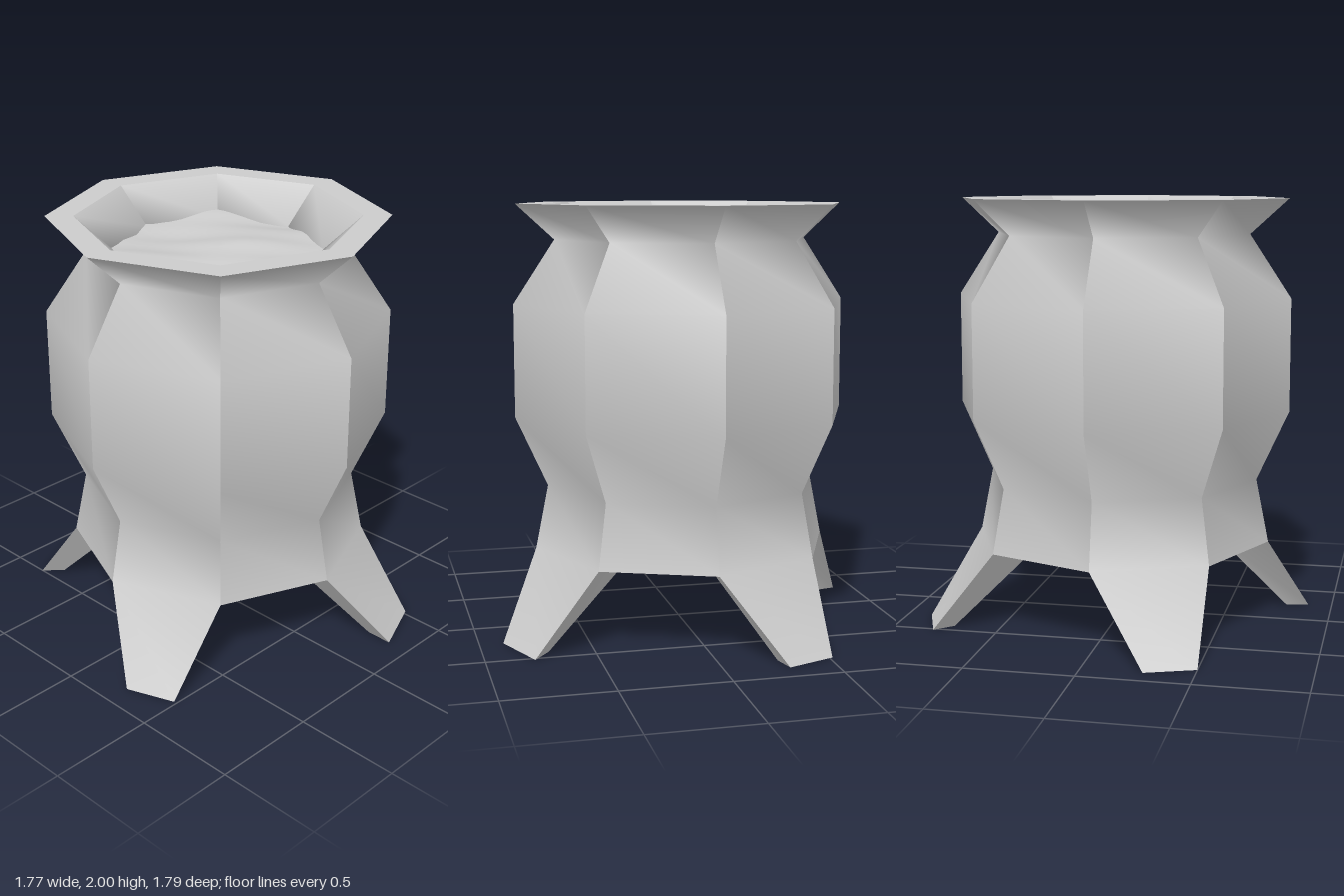
import * as THREE from 'three';

const material = new THREE.MeshStandardMaterial({ color: 0xcccccc });
const SIDES = 8;

// Point at a given radius and height on corner i of the octagon
function corner(i, r, y) {
  const a = (i * Math.PI * 2) / SIDES;
  return [r * Math.sin(a), y, r * Math.cos(a)];
}

// Strip of quads from rows of [left, right] points; smooth inside, hard at its borders
function strip(name, rows) {
  const index = [];
  for (let k = 0; k < rows.length - 1; k++) {
    const p = k * 2;
    index.push(p, p + 1, p + 2, p + 1, p + 3, p + 2);
  }
  const geo = new THREE.BufferGeometry();
  geo.setAttribute('position', new THREE.Float32BufferAttribute(rows.flat(2), 3));
  geo.setIndex(index);
  geo.computeVertexNormals();
  const mesh = new THREE.Mesh(geo, material);
  mesh.name = name;
  return mesh;
}

// Profiles as [radius, height]
const OUTER = [[0.71, 0.38], [0.65, 0.68], [0.8, 1.01], [0.8, 1.54], [0.605, 1.835], [0.785, 2]];
const RIM = [[0.785, 2], [0.655, 2]];
const INNER = [[0.655, 2], [0.475, 1.835], [0.67, 1.54]];
const BASE = [[0, 0.38], [0.71, 0.38]];

export function createModel() {
  const model = new THREE.Group();
  model.name = 'cauldron';
  const pot = new THREE.Group();
  pot.name = 'pot';
  pot.position.z = -0.015;
  model.add(pot);

  for (let i = 0; i < SIDES; i++) {
    const rows = (profile) => profile.map(([r, y]) => [corner(i, r, y), corner(i + 1, r, y)]);
    const wall = rows(OUTER);

    // Every second panel runs on down into a splayed, tapered leg
    if (i % 2 === 0) {
      const a = (i * Math.PI * 2) / SIDES;
      const turn = (x, z) => [
        x * Math.cos(a) + z * Math.sin(a), 0, z * Math.cos(a) - x * Math.sin(a),
      ];
      // The front foot is slightly wider than the others
      const oA = i === 0 ? turn(0.25, 0.905) : turn(0.275, 0.885);
      const oB = i === 0 ? turn(0.52, 0.795) : turn(0.5, 0.8);
      const iA = turn(0.25, 0.78);
      const iB = turn(0.42, 0.72);
      const [tA, tB] = wall[0];
      const jA = corner(i, 0.48, 0.38);
      const jB = corner(i + 1, 0.48, 0.38);

      const leg = new THREE.Group();
      leg.name = 'leg';
      leg.add(
        strip('legSide', [[oB, iB], [tB, jB]]),
        strip('legInside', [[iB, iA], [jB, jA]]),
        strip('legSide', [[iA, oA], [jA, tA]]),
        strip('footSole', [[iA, iB], [oA, oB]]),
      );
      pot.add(leg);
      wall.unshift([oA, oB]);
    }

    pot.add(
      strip('wallPanel', wall),
      strip('rimPanel', rows(RIM)),
      strip('innerPanel', rows(INNER)),
      strip('basePanel', rows(BASE)),
    );
  }

  // Gently rippled liquid, meeting the neck in an uneven line
  const liquidGeo = new THREE.RingGeometry(0.001, 0.54, 48, 12).rotateX(-Math.PI / 2);
  const pos = liquidGeo.attributes.position;
  for (let k = 0; k < pos.count; k++) {
    const x = pos.getX(k);
    const z = pos.getZ(k);
    const wave = 0.009 * Math.sin(9 * x + 4 * z) + 0.008 * Math.cos(11 * z - 5 * x)
      + 0.004 * Math.sin(23 * x - 17 * z);
    pos.setY(k, 1.846 + wave);
  }
  liquidGeo.computeVertexNormals();
  const liquid = new THREE.Mesh(liquidGeo, material);
  liquid.name = 'liquid';
  pot.add(liquid);

  return model;
}
